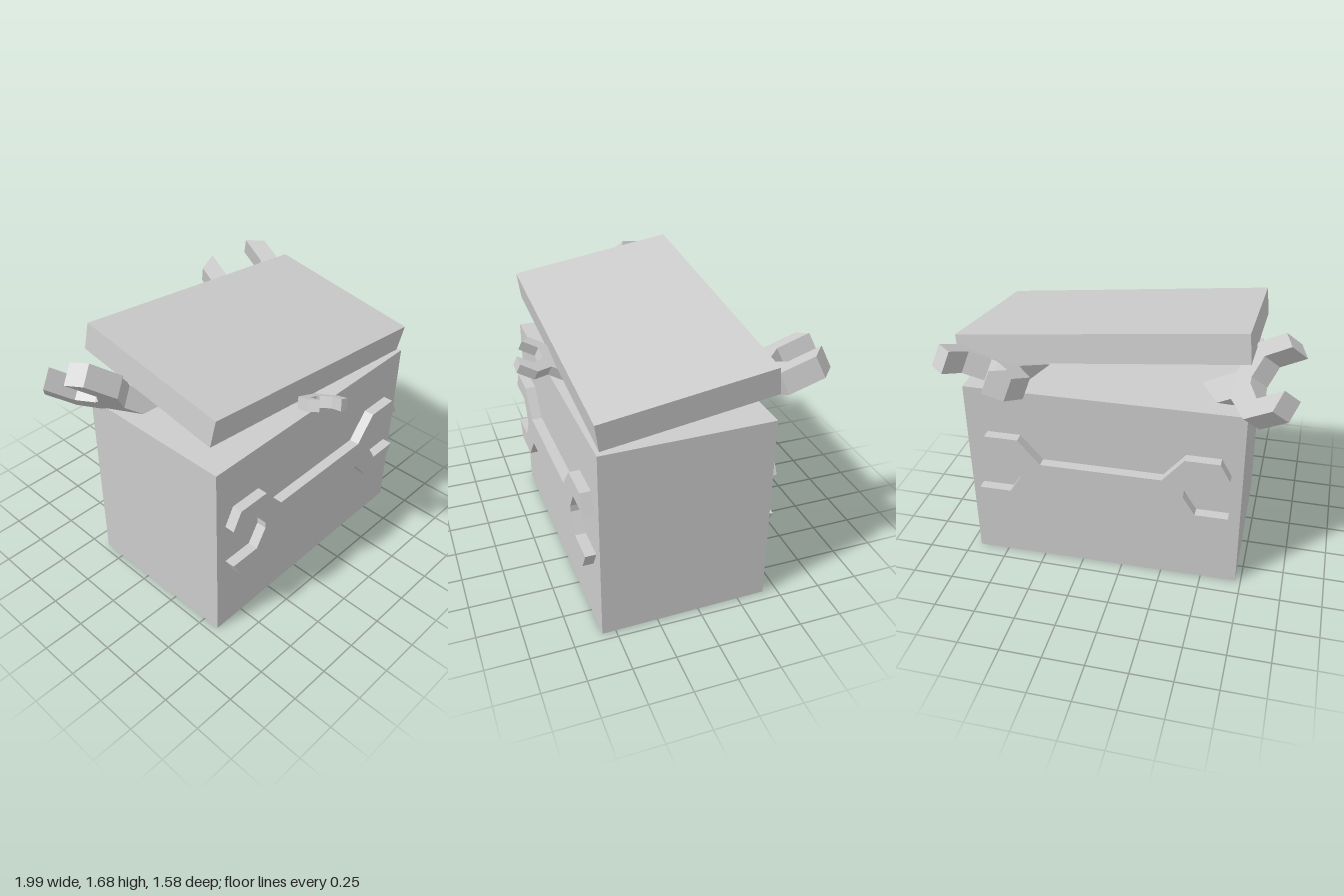
import * as THREE from 'three';

const material = new THREE.MeshStandardMaterial({ color: 0xcccccc, flatShading: true });

// Upper half of an open-ended wrench head, from the handle round to the jaw
const HEAD = [[0.365, 0.0875], [0.495, 0.2425], [0.7, 0.2425], [0.76, 0.1325], [0.565, 0.1325], [0.495, 0.02]];

// Wrench lying along x, extruded evenly about z = 0
function wrenchGeometry(depth, doubleEnded) {
  const lower = HEAD.map(([x, y]) => [x, -y]).reverse();
  const right = [...HEAD, ...lower];
  const left = doubleEnded ? right.map(([x, y]) => [-x, -y]) : [[-0.45, -0.0875], [-0.45, 0.0875]];
  const shape = new THREE.Shape([...right, ...left].map(([x, y]) => new THREE.Vector2(x, y)));
  const geometry = new THREE.ExtrudeGeometry(shape, { depth, bevelEnabled: false });
  return geometry.translate(0, 0, -depth / 2);
}

function addMesh(parent, name, geometry) {
  const mesh = new THREE.Mesh(geometry, material);
  mesh.name = name;
  parent.add(mesh);
  return mesh;
}

// Turn a mesh so its x axis follows `along` and its y axis lies nearest `across`
function orient(mesh, along, across) {
  const x = new THREE.Vector3(...along).normalize();
  const z = x.clone().cross(new THREE.Vector3(...across)).normalize();
  const y = z.clone().cross(x);
  mesh.quaternion.setFromRotationMatrix(new THREE.Matrix4().makeBasis(x, y, z));
}

export function createModel() {
  const model = new THREE.Group();
  model.name = 'toolbox';

  // Solid body, turned very slightly, with a wrench relief on front and back
  const body = new THREE.Group();
  body.name = 'body';
  body.position.set(0.118, 0, 0.095);
  body.rotation.y = 0.016;
  model.add(body);
  addMesh(body, 'box', new THREE.BoxGeometry(1.654, 1.18, 0.994)).position.y = 0.59;
  addMesh(body, 'wrenchRelief', wrenchGeometry(1.118, true)).position.y = 0.6475;

  // Lid, lifted and tilted by the tools
  const lid = addMesh(model, 'lid', new THREE.BoxGeometry(1.655, 0.168, 0.99));
  lid.position.set(0.1175, 1.4325, 0.0925);
  orient(lid, [1.645, -0.175, -0.02], [0.015, 0.165, 0.025]);

  // Loose wrenches sticking out between box and lid
  const tools = [
    { name: 'backWrench', at: [0.627, 1.145, -0.058], along: [0.173, 0.418, -0.892], across: [-0.946, -0.185, -0.27], size: 0.99 },
    { name: 'rightWrench', at: [-0.381, 1.042, -0.072], along: [-0.75, 0.556, -0.376], across: [-0.035, 0.527, 0.849], size: 1 },
    { name: 'frontWrench', at: [0.129, 1.179, 0.424], along: [-0.3, 0.4, 0.866], across: [0.894, -0.227, 0.379], size: 0.51 },
  ];
  const geometry = wrenchGeometry(0.13, false);
  for (const { name, at, along, across, size } of tools) {
    const wrench = addMesh(model, name, geometry);
    wrench.position.set(...at);
    wrench.scale.setScalar(size);
    orient(wrench, along, across);
  }
  return model;
}
